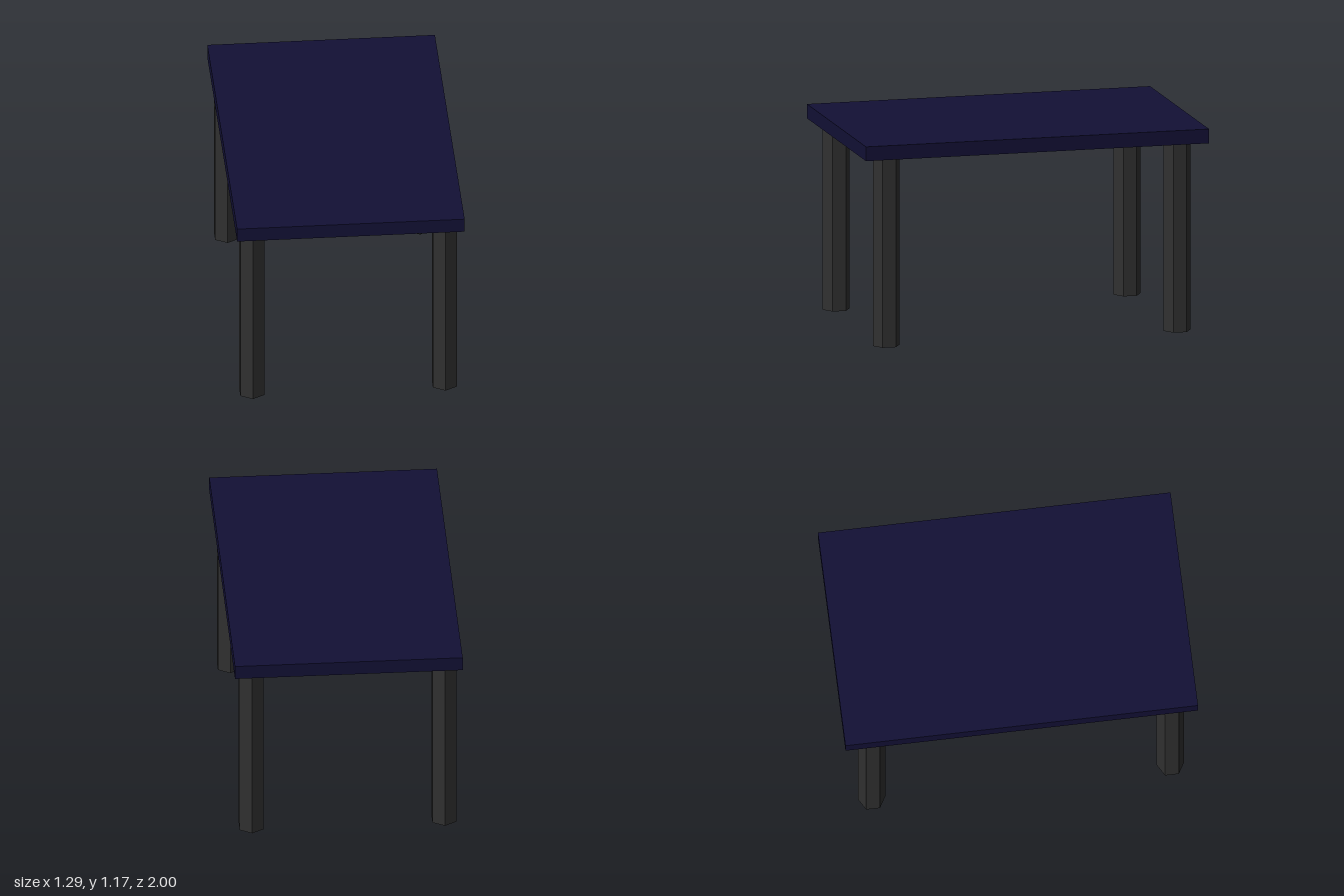
import * as THREE from 'three';

const TOP_Y = 1.166, LEG_HEIGHT = 1.084;

export function createModel() {
  const group = new THREE.Group();
  group.name = 'table';
  const topMaterial = new THREE.MeshStandardMaterial({ color: 0x121035, flatShading: true });
  const legMaterial = new THREE.MeshStandardMaterial({ color: 0x303030, flatShading: true });

  // Flat rectangular slab
  const thickness = TOP_Y - LEG_HEIGHT;
  const top = new THREE.Mesh(new THREE.BoxGeometry(1.286, thickness, 2), topMaterial);
  top.name = 'tabletop';
  top.position.y = LEG_HEIGHT + thickness / 2;
  group.add(top);

  // Four hexagonal legs, set slightly off centre under the slab
  const legGeometry = new THREE.CylinderGeometry(0.078, 0.078, LEG_HEIGHT, 6);
  for (const [xName, x] of [['Left', 0.54], ['Right', -0.548]]) {
    for (const [zName, z] of [['front', 0.855], ['back', -0.84]]) {
      const leg = new THREE.Mesh(legGeometry, legMaterial);
      leg.name = `${zName}${xName}Leg`;
      leg.position.set(x, LEG_HEIGHT / 2, z);
      group.add(leg);
    }
  }
  return group;
}
